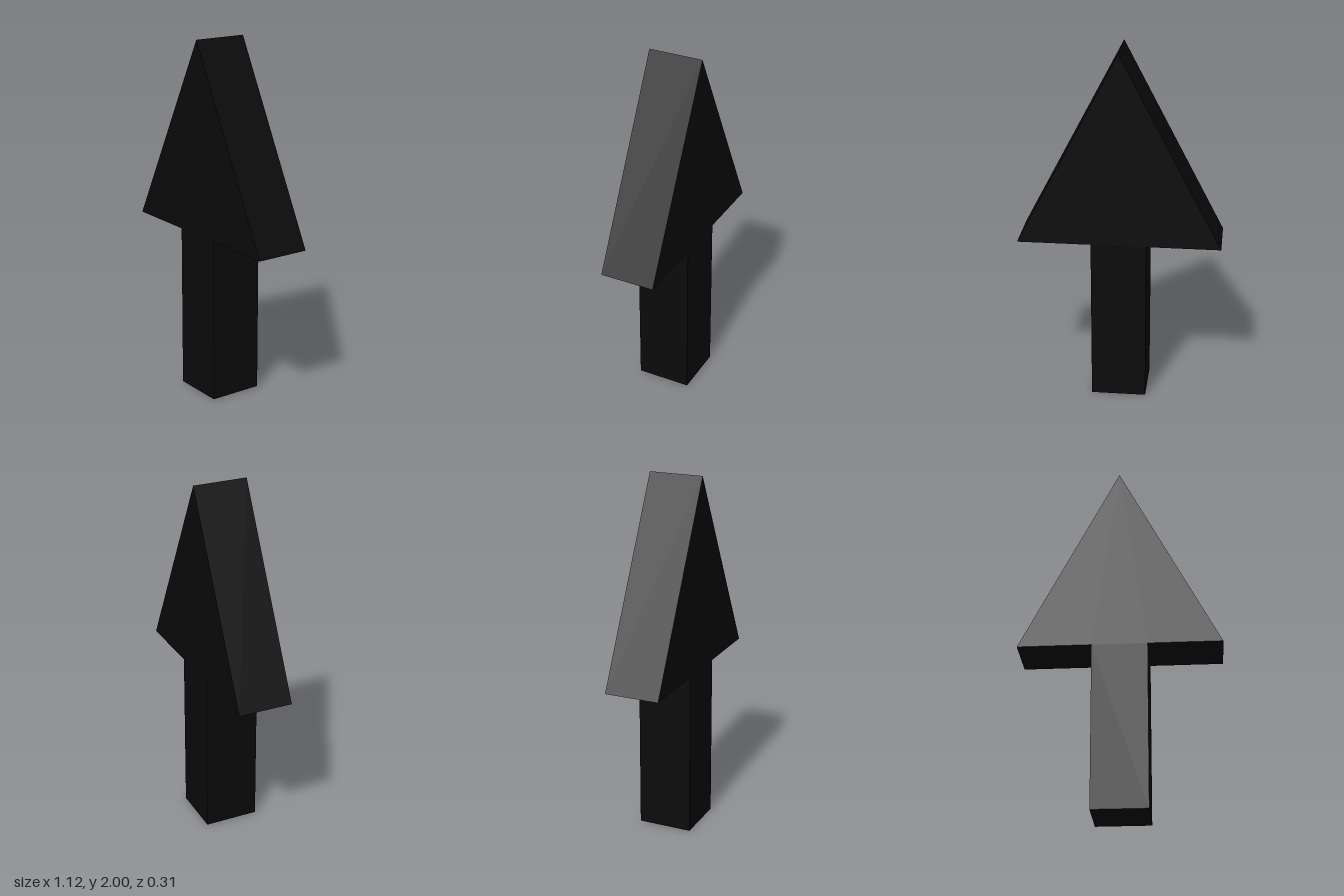
import * as THREE from 'three';

const DEPTH = 0.306;
const HEAD_BASE = 0.927;

// Extrudes a flat outline, centred on z = 0
function slab(name, points, material) {
  const shape = new THREE.Shape(points.map(([x, y]) => new THREE.Vector2(x, y)));
  const geometry = new THREE.ExtrudeGeometry(shape, { depth: DEPTH, bevelEnabled: false });
  geometry.translate(0, 0, -DEPTH / 2);
  const mesh = new THREE.Mesh(geometry, material);
  mesh.name = name;
  return mesh;
}

export function createModel() {
  const group = new THREE.Group();
  group.name = 'arrow';
  const black = new THREE.MeshStandardMaterial({ color: 0x0a0a0a });

  // Arrow outline: square shaft below, triangular head above
  const s = DEPTH / 2;
  const w = 0.56;
  group.add(slab('arrow', [
    [-s, 0], [s, 0], [s, HEAD_BASE], [w, HEAD_BASE],
    [0, 2], [-w, HEAD_BASE], [-s, HEAD_BASE],
  ], black));

  return group;
}
